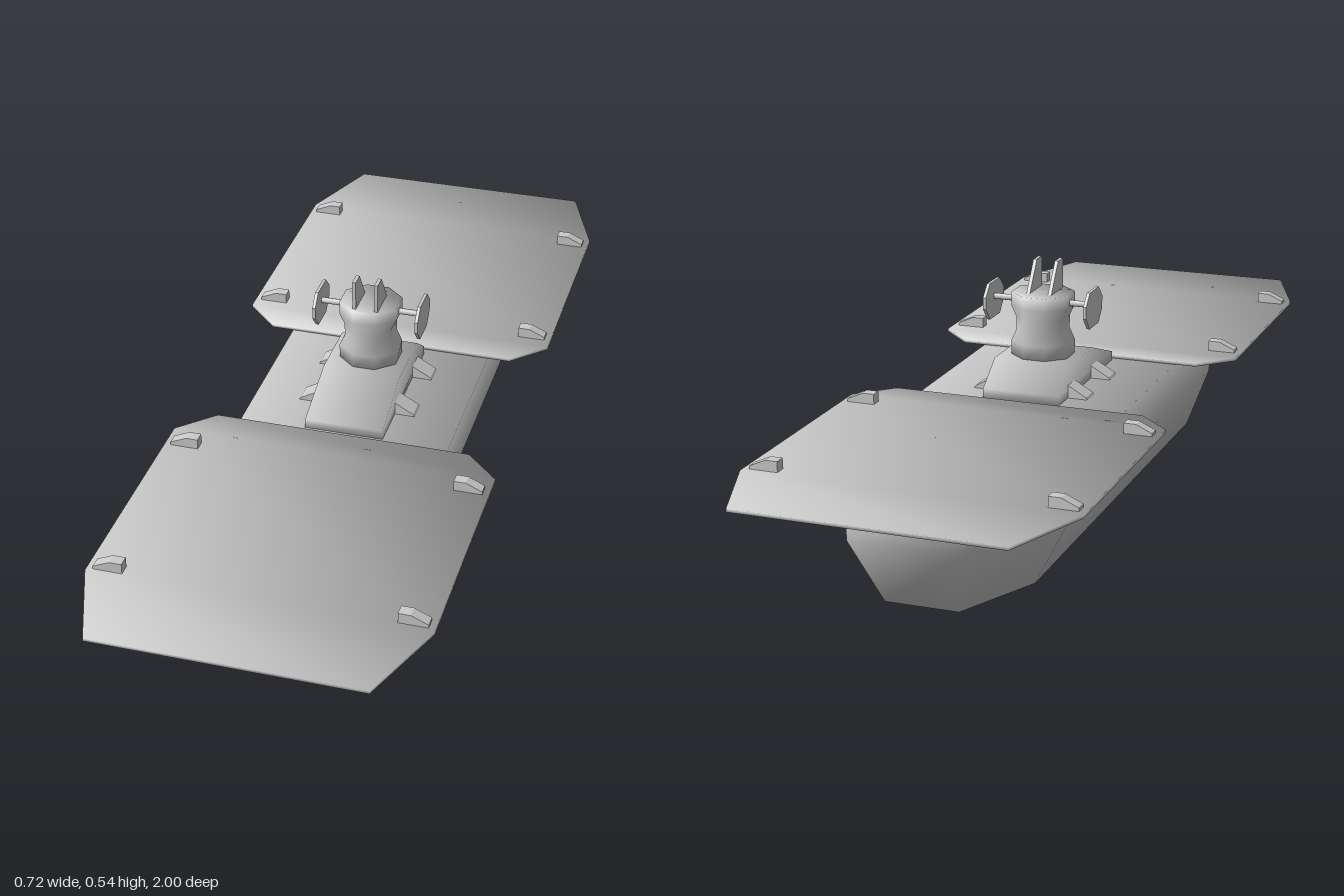
import * as THREE from 'three';

const mat = new THREE.MeshStandardMaterial({ color: 0xcccccc, side: THREE.DoubleSide });

// Horizontal ring at height y: [x, z] points down the +x side from front to back, then mirrored.
function ring(y, half) {
  const left = half.map(([x, z]) => new THREE.Vector3(x, y, z));
  const right = half.map(([x, z]) => new THREE.Vector3(-x, y, z)).reverse();
  return left.concat(right);
}

// Skin stacked rings, cap both ends, and smooth by angle-weighted normals.
function loft(rings) {
  const n = rings[0].length;
  const pts = rings.flat();
  const index = [];
  for (let r = 0; r < rings.length - 1; r++) {
    for (let i = 0; i < n; i++) {
      const a = r * n + i, b = r * n + (i + 1) % n;
      index.push(a, b, b + n, a, b + n, a + n);
    }
  }
  const top = (rings.length - 1) * n;
  // Caps are strips between mirrored points
  for (let i = 0; i < n / 2 - 1; i++) {
    const j = n - 1 - i;
    index.push(i, j, j - 1, i, j - 1, i + 1);
    index.push(top + i, top + i + 1, top + j - 1, top + i, top + j - 1, top + j);
  }
  const normals = pts.map(() => new THREE.Vector3());
  for (let t = 0; t < index.length; t += 3) {
    const tri = index.slice(t, t + 3);
    const [a, b, c] = tri.map((k) => pts[k]);
    const face = new THREE.Triangle(a, b, c).getNormal(new THREE.Vector3());
    tri.forEach((k, m) => {
      const p = pts[k];
      const u = pts[tri[(m + 1) % 3]].clone().sub(p);
      const v = pts[tri[(m + 2) % 3]].clone().sub(p);
      normals[k].addScaledVector(face, u.angleTo(v));
    });
  }
  const geo = new THREE.BufferGeometry().setFromPoints(pts);
  geo.setAttribute('normal', new THREE.Float32BufferAttribute(
    normals.flatMap((v) => v.normalize().toArray()), 3));
  geo.setIndex(index);
  return geo;
}

// Plate with an [x, y] outline, extruded evenly about z = 0.
function plate(outline, depth) {
  const shape = new THREE.Shape(outline.map(([x, y]) => new THREE.Vector2(x, y)));
  return new THREE.ExtrudeGeometry(shape, { depth, bevelEnabled: false }).translate(0, 0, -depth / 2);
}

export function createModel() {
  const model = new THREE.Group();
  const add = (name, geo, x = 0, y = 0, z = 0) => {
    const mesh = new THREE.Mesh(geo, mat);
    mesh.name = name;
    mesh.position.set(x, y, z);
    model.add(mesh);
    return mesh;
  };

  // Hull with chamfered bow and stern
  const waterline = [[0.12, 0.85], [0.235, 0.5], [0.235, -0.45], [0.12, -0.825]];
  add('hull', loft([
    ring(0, [[0.08, 0.66], [0.17, 0.54], [0.17, -0.55], [0.08, -0.74]]),
    ring(0.157, waterline),
    ring(0.257, waterline),
  ]));

  // Two overhanging decks, mirrored front to back
  const deckFront = [[0.285, 1], [0.36, 0.8], [0.36, 0.275], [0.285, 0.2]];
  const deckBack = deckFront.map(([x, z]) => [x, -z]).reverse();
  add('frontDeck', loft([ring(0.257, deckFront), ring(0.264, deckFront)]));
  add('backDeck', loft([ring(0.257, deckBack), ring(0.264, deckBack)]));

  // Cabin with sloping front and back
  add('cabin', loft([
    ring(0.255, [[0.088, 0.185], [0.088, -0.18]]),
    ring(0.278, [[0.088, 0.185], [0.088, -0.18]]),
    ring(0.328, [[0.088, 0.04], [0.088, -0.11]]),
  ]));

  // Eight-sided tower, waisted across its width
  const towerSteps = [[0.325, 0.065], [0.36, 0.065], [0.385, 0.053],
    [0.415, 0.053], [0.44, 0.065], [0.47, 0.065]];
  add('tower', loft(towerSteps.map(([y, w]) => ring(y, [
    [0.025, 0.025], [w, -0.01], [w, -0.065], [0.025, -0.1],
  ]))));

  const block = plate([[0.284, 0.262], [0.346, 0.262], [0.346, 0.271], [0.31, 0.287], [0.284, 0.287]], 0.025);
  const bracket = plate([[0.08, 0.255], [0.135, 0.255], [0.13, 0.262], [0.088, 0.286], [0.08, 0.286]], 0.045);
  // Outlines below run along -z once turned a quarter about y
  const fin = plate([[-0.012, 0.465], [-0.012, 0.537], [0.02, 0.537], [0.065, 0.47], [0.065, 0.465]], 0.008)
    .rotateY(Math.PI / 2);
  const paddle = plate([[-0.055, -0.012], [-0.03, -0.041], [0.03, -0.041], [0.055, -0.012],
    [0.055, 0.015], [0.03, 0.041], [-0.03, 0.041], [-0.055, 0.015]], 0.007).rotateY(Math.PI / 2);
  const arm = new THREE.CylinderGeometry(0.007, 0.007, 0.06, 8).rotateZ(Math.PI / 2);

  for (const side of [1, -1]) {
    const turn = side > 0 ? 0 : Math.PI;
    // Mooring blocks along the deck edges
    for (const z of [0.78, 0.325, -0.315, -0.775]) add('deckBlock', block, 0, 0, z).rotation.y = turn;
    // Brackets beside the cabin
    for (const z of [0.058, -0.098]) add('cabinBracket', bracket, 0, 0, z).rotation.y = turn;
    // Tower fittings
    add('towerFin', fin, side * 0.025);
    add('paddleArm', arm, side * 0.088, 0.45, -0.04);
    add('paddle', paddle, side * 0.117, 0.444, -0.04);
  }
  return model;
}
